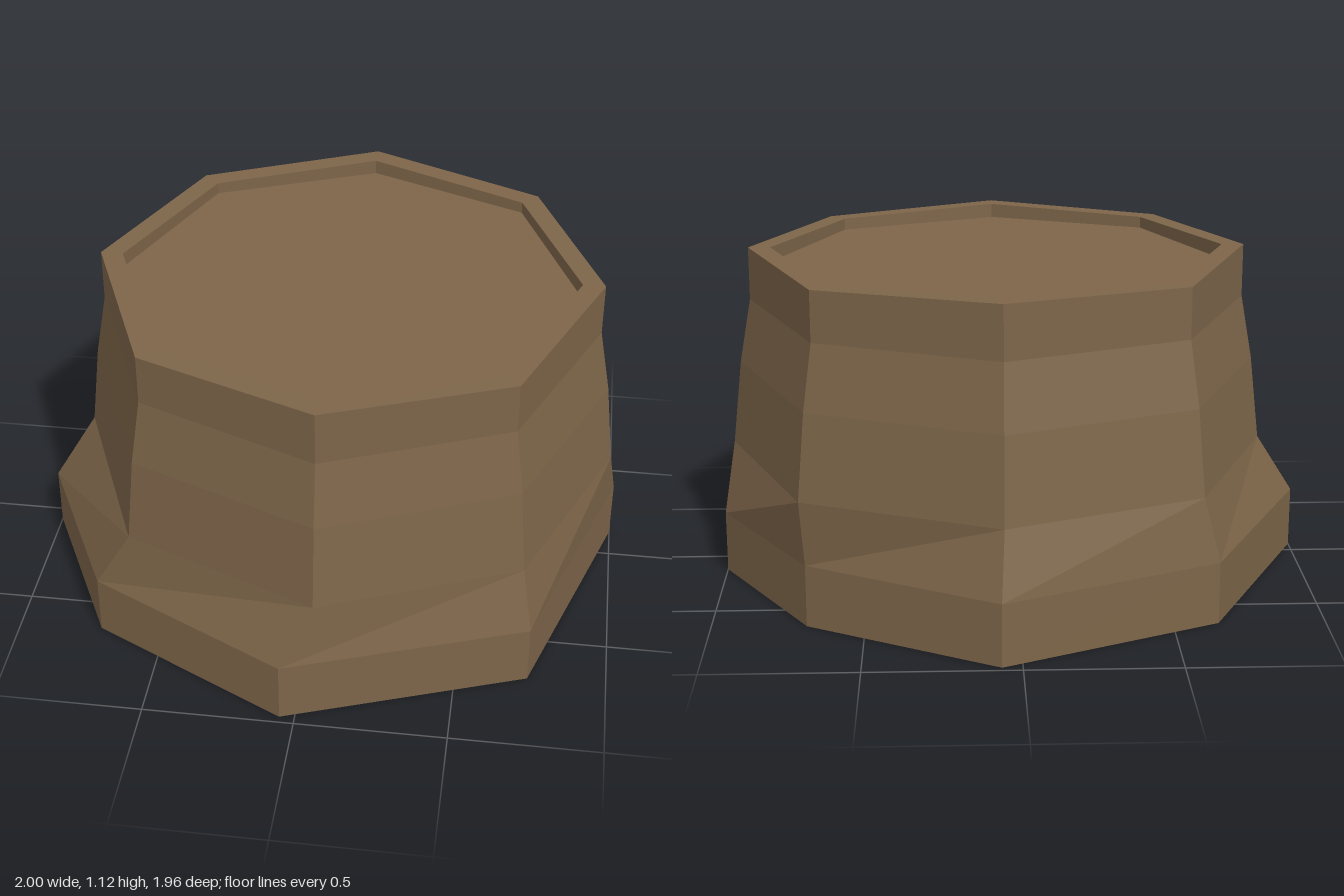
import * as THREE from 'three';

const SIDES = 8;
const CENTRE_X = 0.055;

// Regular octagon ring, starting at the front and going towards +x
function ring(radius, y, cornerDip = 0) {
  return Array.from({ length: SIDES }, (_, i) => {
    const a = (i / SIDES) * Math.PI * 2;
    return [CENTRE_X + radius * Math.sin(a), y - (i % 2) * cornerDip, radius * Math.cos(a)];
  });
}

// Ring collapsed to one point, for closing a surface
const point = (y) => Array.from({ length: SIDES }, () => [CENTRE_X, y, 0]);

// Flat-shaded skin over successive rings
function skin(name, rings, material) {
  const pos = [];
  for (let r = 0; r < rings.length - 1; r++) {
    const lo = rings[r], hi = rings[r + 1];
    for (let i = 0; i < SIDES; i++) {
      const j = (i + 1) % SIDES;
      pos.push(...lo[i], ...lo[j], ...hi[j], ...lo[i], ...hi[j], ...hi[i]);
    }
  }
  const geometry = new THREE.BufferGeometry();
  geometry.setAttribute('position', new THREE.Float32BufferAttribute(pos, 3));
  geometry.computeVertexNormals();
  const mesh = new THREE.Mesh(geometry, material);
  mesh.name = name;
  return mesh;
}

export function createModel() {
  const group = new THREE.Group();
  group.name = 'stump';
  const brown = new THREE.MeshStandardMaterial({ color: 0x7d6549, flatShading: true });
  brown.name = 'earth brown';

  // Uneven foot outline (x, z)
  const outline = [
    [-0.05, 0.975], [0.74, 0.69], [1.0, -0.125], [0.69, -0.637],
    [0.065, -0.98], [-0.65, -0.655], [-1.0, 0.06], [-0.72, 0.63],
  ];
  const foot = (y) => outline.map(([x, z]) => [x, y, z]);

  // Foot and tapering trunk
  group.add(skin('underside', [point(0), foot(0)], brown));
  group.add(skin('foot', [foot(0), foot(0.21)], brown));
  group.add(skin('trunk', [
    foot(0.21), ring(0.918, 0.43), ring(0.885, 0.72), ring(0.845, 0.94), ring(0.845, 1.12, 0.01),
  ], brown));

  // Raised rim around a shallow recess
  group.add(skin('rim', [
    ring(0.845, 1.12, 0.01), ring(0.77, 1.12, 0.01), ring(0.77, 1.07),
  ], brown));
  group.add(skin('recessFloor', [ring(0.77, 1.07), point(1.07)], brown));

  return group;
}
